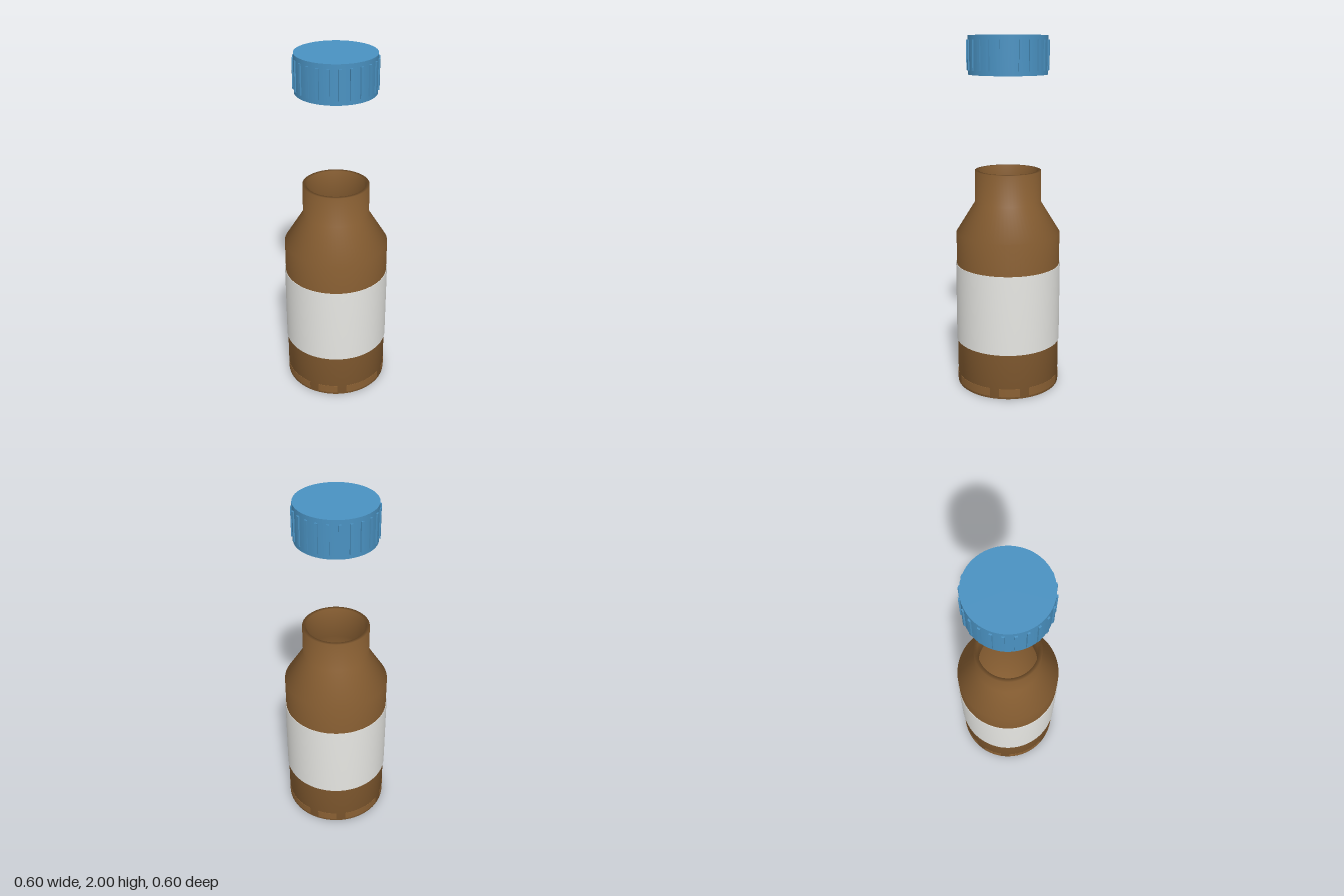
import * as THREE from 'three';
import { toCreasedNormals } from 'three/addons/utils/BufferGeometryUtils.js';

const material = (name, color) => {
  const m = new THREE.MeshStandardMaterial({ color });
  m.name = name;
  return m;
};

const lathe = (points, start = 0, sweep = Math.PI * 2, segments = 64) =>
  new THREE.LatheGeometry(points.map(([r, y]) => new THREE.Vector2(r, y)), segments, start, sweep);

export function createModel() {
  const brown = material('amber brown', 0x8a6033);
  const white = material('label white', 0xeeeeea);
  const blue = material('cap blue', 0x4a92c2);
  const model = new THREE.Group();
  model.name = 'bottle';

  const add = (name, geometry, mat, parent = model) => {
    const mesh = new THREE.Mesh(geometry, mat);
    mesh.name = name;
    parent.add(mesh);
    return mesh;
  };

  // Hollow body: outer wall going up, inner wall coming back down
  add('bottleBody', lathe([
    [0, 0], [0.295, 0], [0.295, 0.905], [0.187, 1.08], [0.187, 1.26],
    [0.166, 1.26], [0.166, 1.07], [0.272, 0.895], [0.272, 0.025], [0, 0.025],
  ]), brown);

  // Label sleeve
  add('label', lathe([[0.294, 0.265], [0.3, 0.265], [0.3, 0.722], [0.294, 0.722]]), white);

  // Raised grip pads around the foot, narrow and wide in turn
  const pads = new THREE.Group();
  pads.name = 'footPads';
  model.add(pads);
  for (let i = 0; i < 8; i++) {
    const half = THREE.MathUtils.degToRad(i % 2 ? 23 : 11.3);
    const profile = [[0.293, 0.012], [0.2965, 0.012], [0.2965, 0.06], [0.293, 0.06]];
    const pad = lathe(profile, i * Math.PI / 4 - half, half * 2, 8);
    add('footPad', toCreasedNormals(pad, 0.6), brown, pads);
  }

  // Screw cap floating above the neck, open underneath
  const cap = new THREE.Group();
  cap.name = 'cap';
  model.add(cap);
  add('capShell', toCreasedNormals(lathe([
    [0, 1.95], [0.192, 1.95], [0.192, 1.79], [0.219, 1.79], [0.219, 2], [0, 2],
  ]), 0.6), blue, cap);

  // Ribs around the cap
  const ribGeometry = new THREE.BoxGeometry(0.015, 0.162, 0.016);
  for (let i = 0; i < 24; i++) {
    const a = i * Math.PI / 12;
    const rib = add('capRib', ribGeometry, blue, cap);
    rib.position.set(Math.sin(a) * 0.219, 1.895, Math.cos(a) * 0.219);
    rib.rotation.y = a;
  }
  return model;
}
